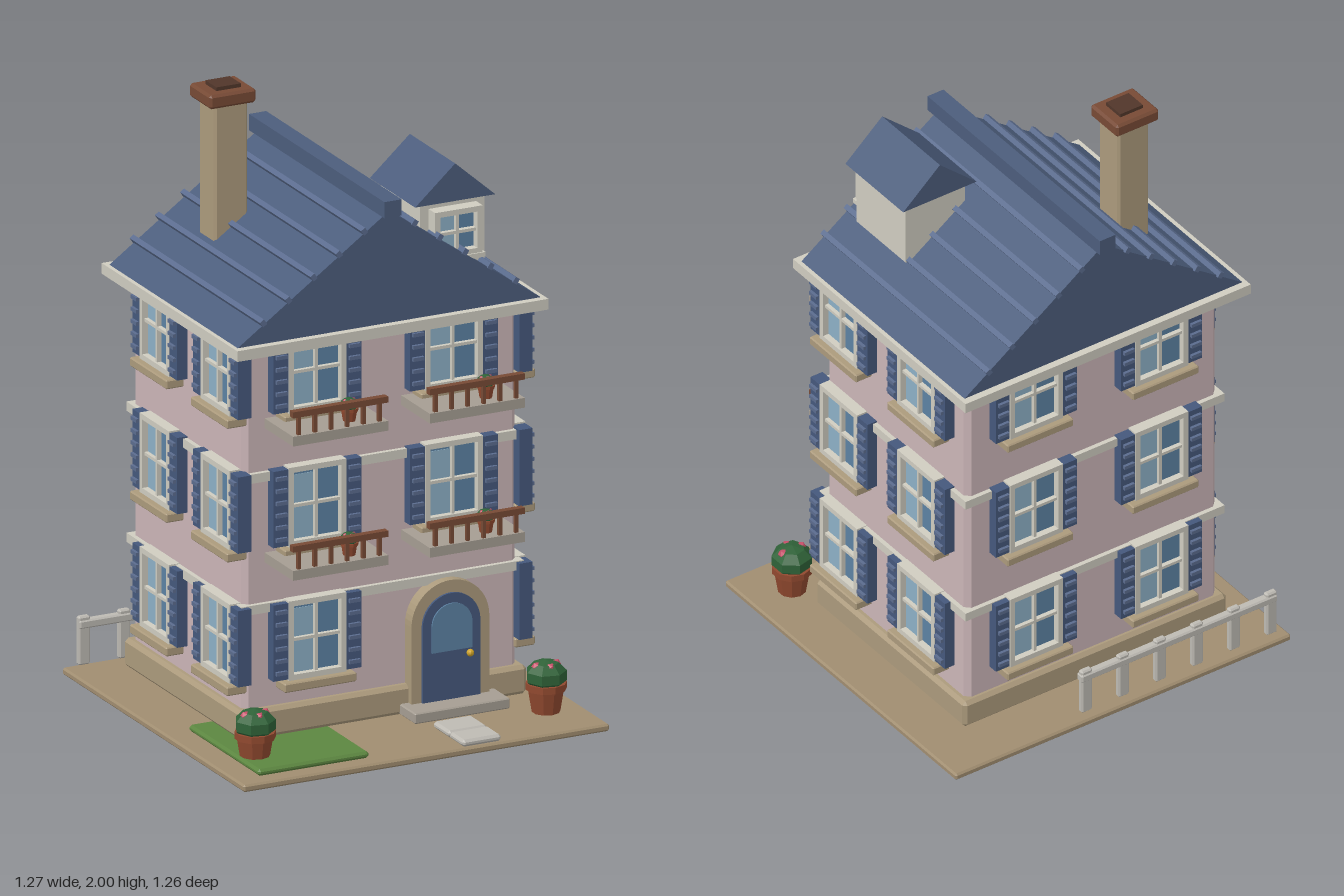
import * as THREE from 'three';
import { ConvexGeometry } from 'three/addons/geometries/ConvexGeometry.js';

const mat = (color) => new THREE.MeshStandardMaterial({ color, flatShading: true });
const M = {
  wall: mat(0xcbb5b7), trim: mat(0xcfccc0), stone: mat(0xab9a7c), slab: mat(0xa59d92),
  roof: mat(0x4c5d7c), seam: mat(0x5b6c8e), blue: mat(0x45587c), glass: mat(0x5c82a3),
  shine: mat(0x8db0c6), brown: mat(0x774a35), dark: mat(0x51362a), ground: mat(0xa08d70),
  grass: mat(0x5c8640), pot: mat(0x91492f), leaf: mat(0x2f6238), flower: mat(0xc8506a),
  brass: mat(0xd0a428), paving: mat(0xbdbab3),
};

function add(parent, name, geometry, material, x = 0, y = 0, z = 0) {
  const mesh = new THREE.Mesh(geometry, material);
  mesh.name = name;
  mesh.position.set(x, y, z);
  parent.add(mesh);
  return mesh;
}

function group(parent, name, x = 0, y = 0, z = 0) {
  const g = new THREE.Group();
  g.name = name;
  g.position.set(x, y, z);
  parent.add(g);
  return g;
}

// Box given by its extents; c > 0 chamfers every edge
function block(parent, name, material, [x0, x1], [y0, y1], [z0, z1], c = 0) {
  const w = x1 - x0, h = y1 - y0, d = z1 - z0;
  let geometry = new THREE.BoxGeometry(w, h, d);
  if (c > 0) {
    const pts = [];
    for (const i of [-1, 1]) for (const j of [-1, 1]) for (const k of [-1, 1]) {
      const a = w / 2, b = h / 2, e = d / 2;
      pts.push(new THREE.Vector3(i * a, j * (b - c), k * (e - c)),
        new THREE.Vector3(i * (a - c), j * b, k * (e - c)),
        new THREE.Vector3(i * (a - c), j * (b - c), k * e));
    }
    geometry = new ConvexGeometry(pts);
  }
  return add(parent, name, geometry, material, (x0 + x1) / 2, (y0 + y1) / 2, (z0 + z1) / 2);
}

// Triangular prism along z, used for the roofs
function gable(parent, name, half, y0, y1, z0, z1, x = 0) {
  const s = new THREE.Shape([new THREE.Vector2(-half, y0), new THREE.Vector2(half, y0), new THREE.Vector2(0, y1)]);
  return add(parent, name, new THREE.ExtrudeGeometry(s, { depth: z1 - z0, bevelEnabled: false }), M.roof, x, 0, z0);
}

// Round-topped outline standing on y0, with its arch centred at height yc
function archPath(PathType, r, y0, yc) {
  const p = new PathType();
  p.moveTo(-r, y0);
  p.lineTo(r, y0);
  p.lineTo(r, yc);
  p.absarc(0, yc, r, 0, Math.PI, false);
  p.closePath();
  return p;
}
const archSolid = (shape, depth) =>
  new THREE.ExtrudeGeometry(shape, { depth, bevelEnabled: false, curveSegments: 12 });

// Frame, glass and glazing bars; local z = 0 is the wall surface
function casement(parent, w, h, depth) {
  const a = w / 2, b = h / 2, t = 0.018;
  for (const s of [-1, 1]) {
    block(parent, 'windowFrameSide', M.trim, s < 0 ? [-a, -a + t] : [a - t, a], [-b, b], [-0.01, depth]);
    block(parent, 'windowFrameRail', M.trim, [-a + t, a - t], s < 0 ? [-b, -b + t] : [b - t, b], [-0.01, depth]);
  }
  block(parent, 'glass', M.glass, [-a + t, a - t], [-b + t, b - t], [-0.01, depth * 0.4]);
  block(parent, 'glassHighlight', M.shine, [-a + t, -0.005], [-b + t, b * 0.75], [0, depth * 0.45]);
  block(parent, 'mullion', M.trim, [-0.005, 0.005], [-b + t, b - t], [0, depth * 0.8]);
  block(parent, 'glazingBar', M.trim, [-a + t, a - t], [-0.005, 0.005], [0, depth * 0.8]);
}

// Window with sill and louvred shutters
function shutteredWindow(parent, x, y, z, turn) {
  const g = group(parent, 'window', x, y, z);
  g.rotation.y = turn;
  casement(g, 0.2, 0.26, 0.038);
  block(g, 'sill', M.stone, [-0.125, 0.125], [-0.16, -0.13], [-0.01, 0.06], 0.004);
  for (const s of [-1, 1]) {
    const c = s * 0.127;
    block(g, 'shutter', M.blue, [c - 0.026, c + 0.026], [-0.125, 0.125], [-0.01, 0.036]);
    for (let i = 0; i < 6; i++) {
      const sy = -0.1 + i * 0.04;
      block(g, 'shutterSlat', M.seam, [c - 0.019, c + 0.019], [sy - 0.006, sy + 0.006], [0.03, 0.046]);
    }
  }
}

function pottedPlant(parent, x, y, z, size) {
  const g = group(parent, 'pottedPlant', x, y, z);
  g.scale.setScalar(size);
  add(g, 'pot', new THREE.CylinderGeometry(0.058, 0.045, 0.08, 10), M.pot, 0, 0.04, 0);
  add(g, 'potRim', new THREE.CylinderGeometry(0.065, 0.065, 0.022, 10), M.pot, 0, 0.085, 0);
  add(g, 'foliage', new THREE.SphereGeometry(0.068, 7, 5), M.leaf, 0, 0.118, 0).scale.y = 0.75;
  for (const [fx, fz] of [[-0.034, 0], [0.034, 0], [0, 0.03]]) {
    add(g, 'flower', new THREE.IcosahedronGeometry(0.016, 0), M.flower, fx, 0.15, fz);
  }
}

function balcony(parent, x, y) {
  const g = group(parent, 'balcony', x, y, 0);
  block(g, 'balconySlab', M.slab, [-0.165, 0.165], [0, 0.032], [0.28, 0.485]);
  block(g, 'handrail', M.brown, [-0.165, 0.165], [0.092, 0.112], [0.462, 0.485]);
  for (let i = 0; i < 6; i++) {
    const bx = -0.14 + i * 0.056;
    block(g, 'baluster', M.brown, [bx - 0.006, bx + 0.006], [0.03, 0.094], [0.467, 0.479]);
  }
  pottedPlant(g, 0.06, 0.032, 0.425, 0.44);
}

export function createModel() {
  const model = new THREE.Group();
  model.name = 'townhouse';

  // Grounds
  block(model, 'groundPlate', M.ground, [-0.635, 0.635], [0, 0.024], [-0.633, 0.607], 0.006);
  block(model, 'lawn', M.grass, [-0.565, -0.18], [0.03, 0.052], [0.09, 0.57], 0.008);
  block(model, 'pavingStone', M.paving, [0.115, 0.25], [0.035, 0.058], [0.42, 0.53], 0.008);
  block(model, 'pavingStone', M.paving, [0.115, 0.25], [0.035, 0.058], [0.532, 0.627], 0.008);
  for (const x of [-0.51, 0.5]) pottedPlant(model, x, 0.035, 0.437, 1);

  // Fence behind the house
  const fence = group(model, 'fence');
  block(fence, 'fenceRail', M.paving, [-0.597, 0.145], [0.155, 0.183], [-0.616, -0.586], 0.005);
  for (let i = 0; i < 6; i++) {
    const x = -0.578 + i * 0.14;
    block(fence, 'fencePost', M.paving, [x - 0.02, x + 0.02], [0.036, 0.195], [-0.612, -0.59], 0.005);
  }

  // Walls, plinth and string courses
  block(model, 'plinth', M.stone, [-0.498, 0.498], [0.053, 0.148], [-0.485, 0.315], 0.012);
  block(model, 'walls', M.wall, [-0.475, 0.475], [0.1, 1.35], [-0.465, 0.29], 0.018);
  for (const y of [0.46, 0.89]) {
    block(model, 'stringCourse', M.trim, [-0.49, 0.49], [y, y + 0.03], [-0.48, 0.305]);
  }
  block(model, 'eaves', M.trim, [-0.54, 0.54], [1.325, 1.36], [-0.55, 0.375]);

  // Windows on all four sides, balconies on the upper front
  for (let floor = 0; floor < 3; floor++) {
    const y = 0.362 + floor * 0.438;
    for (const s of [-1, 1]) {
      if (floor > 0 || s < 0) shutteredWindow(model, s * 0.237, y, 0.29, 0);
      shutteredWindow(model, s * 0.237, y, -0.465, Math.PI);
      for (const z of [0.17, -0.245]) shutteredWindow(model, s * 0.475, y, z, s * Math.PI / 2);
      if (floor > 0) balcony(model, s * 0.237, 0.62 + (floor - 1) * 0.44);
    }
  }

  // Arched front door
  const door = group(model, 'frontDoor', 0.22, 0, 0);
  const surround = archPath(THREE.Shape, 0.135, 0.085, 0.342);
  surround.holes.push(archPath(THREE.Path, 0.1, 0.09, 0.337));
  add(door, 'doorSurround', archSolid(surround, 0.05), M.stone, 0, 0, 0.285);
  add(door, 'doorLeaf', archSolid(archPath(THREE.Shape, 0.1, 0.09, 0.337), 0.055), M.blue, 0, 0, 0.288);
  add(door, 'doorGlass', archSolid(archPath(THREE.Shape, 0.07, 0.25, 0.335), 0.01), M.glass, 0, 0, 0.338);
  add(door, 'doorKnob', new THREE.SphereGeometry(0.012, 10, 8), M.brass, 0.06, 0.235, 0.353);
  block(door, 'doorStep', M.slab, [-0.165, 0.165], [0.055, 0.09], [0.28, 0.418], 0.004);

  // Main roof with ridge cap and standing seams
  const rise = 0.37, half = 0.53;
  gable(model, 'roof', half, 1.357, 1.357 + rise, -0.525, 0.35);
  block(model, 'ridgeCap', M.roof, [-0.03, 0.03], [1.715, 1.768], [-0.548, 0.376]);
  for (const s of [-1, 1]) for (let i = 1; i <= 5; i++) {
    const x = s * i * 0.0877;
    const y = 1.357 + rise * (1 - Math.abs(x) / half) + 0.008;
    const seam = add(model, 'roofSeam', new THREE.BoxGeometry(0.017, 0.02, 0.89), M.seam, x, y, -0.09);
    seam.rotation.z = -s * Math.atan2(rise, half);
  }

  // Dormer
  const dormer = group(model, 'dormer', 0.252, 0, 0);
  block(dormer, 'dormerWalls', M.trim, [-0.112, 0.112], [1.485, 1.71], [0.02, 0.285]);
  gable(dormer, 'dormerRoof', 0.139, 1.705, 1.828, -0.005, 0.305);
  const pane = group(dormer, 'dormerWindow', 0, 1.608, 0.285);
  casement(pane, 0.165, 0.155, 0.045);
  block(pane, 'dormerSill', M.trim, [-0.09, 0.09], [-0.09, -0.075], [-0.01, 0.05]);

  // Chimney
  const chimney = group(model, 'chimney');
  block(chimney, 'chimneyStack', M.stone, [-0.322, -0.205], [1.42, 1.95], [-0.315, -0.208], 0.008);
  block(chimney, 'chimneyCap', M.brown, [-0.347, -0.185], [1.942, 1.988], [-0.335, -0.19], 0.008);
  block(chimney, 'flue', M.dark, [-0.307, -0.222], [1.97, 2.0], [-0.301, -0.225]);

  return model;
}
